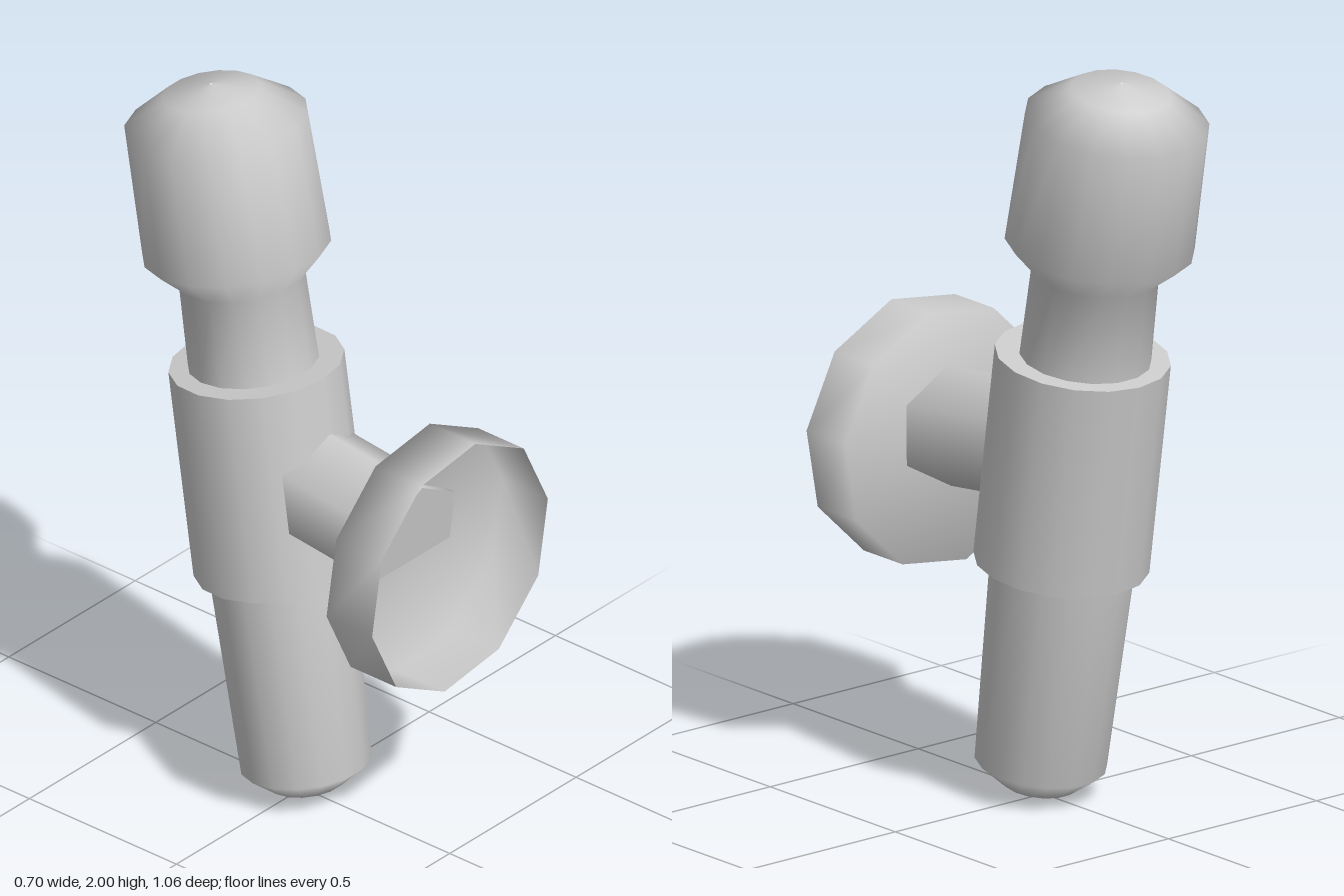
import * as THREE from 'three';

const DEG = Math.PI / 180;
const SIDES = 16;

// Smooth skin over tilted rings, each given as [z, y, radius, tilt in degrees]
function loft(rings, sides) {
  const pos = [], index = [];
  for (const [z, y, r, tilt] of rings) {
    const t = tilt * DEG;
    for (let j = 0; j < sides; j++) {
      const a = (j + 0.5) / sides * Math.PI * 2;
      const s = r * Math.sin(a);
      pos.push(r * Math.cos(a), y + s * Math.sin(t), z + s * Math.cos(t));
    }
  }
  for (let i = 0; i < rings.length - 1; i++) {
    for (let j = 0; j < sides; j++) {
      const k = (j + 1) % sides;
      const a = i * sides + j, b = i * sides + k, c = a + sides, d = b + sides;
      index.push(a, c, b, b, c, d);
    }
  }
  const g = new THREE.BufferGeometry();
  g.setAttribute('position', new THREE.Float32BufferAttribute(pos, 3));
  g.setIndex(index);
  g.computeVertexNormals();
  return g;
}

export function createModel() {
  const group = new THREE.Group();
  const grey = new THREE.MeshStandardMaterial({ color: 0xcccccc });
  const greyOpen = new THREE.MeshStandardMaterial({ color: 0xcccccc, side: THREE.DoubleSide });

  function add(name, geometry, material = grey) {
    const mesh = new THREE.Mesh(geometry, material);
    mesh.name = name;
    group.add(mesh);
    return mesh;
  }

  // Leaning handle with a rounded foot
  add('handle', loft([
    [0.02, 0.0, 0.004, 8.8],
    [0.015, 0.027, 0.1, 8.8],
    [0.01, 0.087, 0.173, 8.8],
    [-0.077, 0.645, 0.19, 8.8],
    [-0.12, 0.94, 0.18, 8.8],
  ], SIDES));

  // Neck widening into the domed head
  add('neckAndHead', loft([
    [-0.12, 0.94, 0.175, 8.8],
    [-0.168, 1.225, 0.172, 8.8],
    [-0.207, 1.465, 0.167, 9],
    [-0.225, 1.545, 0.248, 9.5],
    [-0.295, 1.9, 0.241, 10],
    [-0.31, 1.977, 0.13, 10],
    [-0.313, 2.0, 0.004, 10],
  ], SIDES));

  // Collar gripping the handle
  const sleeve = add('sleeve', new THREE.CylinderGeometry(0.229, 0.229, 0.587, SIDES));
  sleeve.position.set(0, 0.936, -0.115);
  sleeve.rotation.x = -8.4 * DEG;

  // Six-sided arm reaching forward from the collar
  const arm = add('arm', new THREE.CylinderGeometry(0.162, 0.162, 0.45, 6));
  arm.position.set(0, 0.931, 0.164);
  arm.rotation.x = Math.PI / 2 + 6.8 * DEG;

  // Ten-sided mounting cup, open to the front
  const profile = [[0.001, 0], [0.351, 0], [0.351, 0.155]].map(p => new THREE.Vector2(...p));
  const cup = add('mountingCup', new THREE.LatheGeometry(profile, 10, 26 * DEG), greyOpen);
  cup.position.set(0, 0.875, 0.38);
  cup.rotation.x = Math.PI / 2;

  return group;
}
